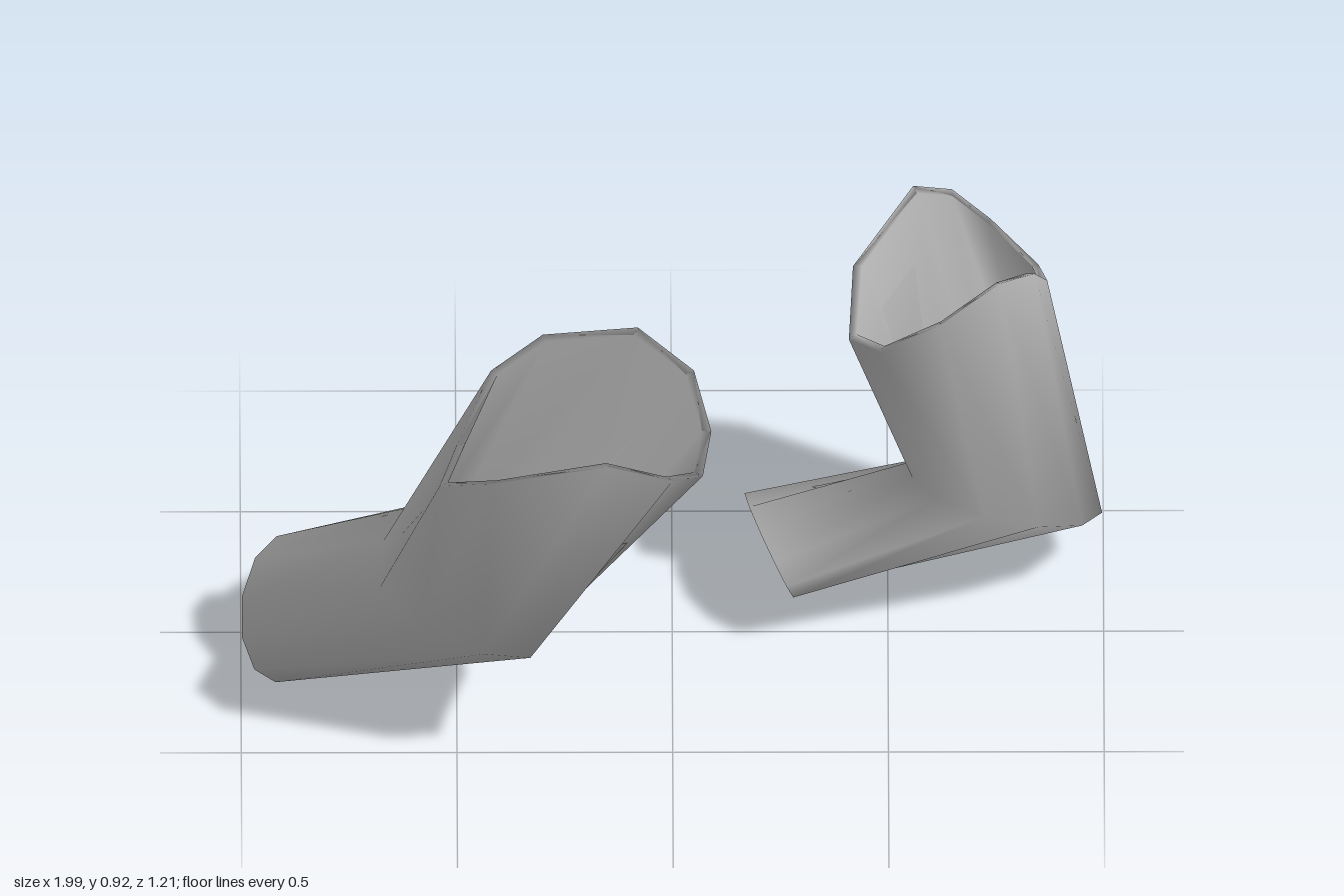
import * as THREE from 'three';

const SIDES = 11;
const WALL = 0.022;
const vec = (p) => new THREE.Vector3(...p);

// Elliptical cross-section: a points to the outer side of the bend, b to its flank,
// and fold shifts both flanks out of the plane
function ellipse(c, a, b, fold = [0, 0, 0]) {
  return Array.from({ length: SIDES }, (_, i) => {
    const t = (i / SIDES) * Math.PI * 2;
    return vec(c)
      .addScaledVector(vec(a), Math.cos(t))
      .addScaledVector(vec(b), Math.sin(t))
      .addScaledVector(vec(fold), Math.sin(t) ** 2);
  });
}

function centre(ring) {
  const c = new THREE.Vector3();
  ring.forEach((p) => c.addScaledVector(p, 1 / ring.length));
  return c;
}

// The same cross-section pulled in by the wall thickness
function inset(ring) {
  const c = centre(ring);
  return ring.map((p) => p.clone().addScaledVector(c.clone().sub(p).normalize(), WALL));
}

// Bent tube with a thick wall: closed lower end, outside, top lip, inside, inner floor
function sleeve(name, cuff, elbow, rim, material) {
  const up = centre(elbow).sub(centre(cuff)).setLength(WALL);
  const floor = inset(cuff).map((p) => p.add(up));
  const cap = (ring) => ring.map(() => centre(ring));
  const rows = [cap(cuff), cuff, elbow, rim, inset(rim), inset(elbow), floor, cap(floor)];
  const positions = rows.flat().flatMap((p) => [p.x, p.y, p.z]);
  const index = [];
  for (let j = 0; j < rows.length - 1; j++) {
    for (let i = 0; i < SIDES; i++) {
      const k = (i + 1) % SIDES;
      const a = j * SIDES + i, b = j * SIDES + k;
      if (j < rows.length - 2) index.push(a, a + SIDES, b + SIDES);
      if (j > 0) index.push(a, b + SIDES, b);
    }
  }
  const geo = new THREE.BufferGeometry();
  geo.setAttribute('position', new THREE.Float32BufferAttribute(positions, 3));
  geo.setIndex(index);
  geo.computeVertexNormals();
  const mesh = new THREE.Mesh(geo, material);
  mesh.name = name;
  return mesh;
}

export function createModel() {
  const group = new THREE.Group();
  group.name = 'sleeves';
  const cloth = new THREE.MeshStandardMaterial({ color: 0xb4b4b4, side: THREE.DoubleSide });
  cloth.name = 'grey cloth';

  // Gently bent sleeve with a wide, wavy opening
  group.add(sleeve('rightSleeve',
    ellipse([-0.905, 0.107, 0.055], [-0.015, -0.105, 0.152], [-0.095, 0.022, 0.025]),
    ellipse([-0.45, 0.37, 0.325], [0.12, -0.09, 0.195], [-0.1, 0.035, 0.1], [-0.115, -0.045, -0.03]),
    [
      [0, 0.78, 0.53], [-0.15, 0.84, 0.56], [-0.42, 0.82, 0.6], [-0.54, 0.74, 0.49],
      [-0.5, 0.7, 0.26], [-0.42, 0.8, 0.1], [-0.3, 0.88, 0.07], [-0.08, 0.92, 0.1],
      [0.05, 0.86, 0.19], [0.09, 0.77, 0.31], [0.07, 0.72, 0.42],
    ].map(vec), cloth));

  // Sharply bent sleeve with an upright opening
  group.add(sleeve('leftSleeve',
    ellipse([0.225, 0.15, -0.14], [0.035, -0.08, -0.01], [0.045, 0, 0.19]),
    ellipse([0.775, 0.228, -0.25], [0.222, -0.09, -0.04], [-0.02, 0.05, 0.2]),
    [
      [0.87, 0.74, -0.36], [0.84, 0.84, -0.24], [0.76, 0.9, -0.11], [0.62, 0.83, -0.04],
      [0.48, 0.73, -0.08], [0.41, 0.67, -0.22], [0.42, 0.74, -0.42], [0.56, 0.87, -0.56],
      [0.65, 0.83, -0.605], [0.74, 0.75, -0.6], [0.85, 0.69, -0.5],
    ].map(vec), cloth));

  return group;
}
